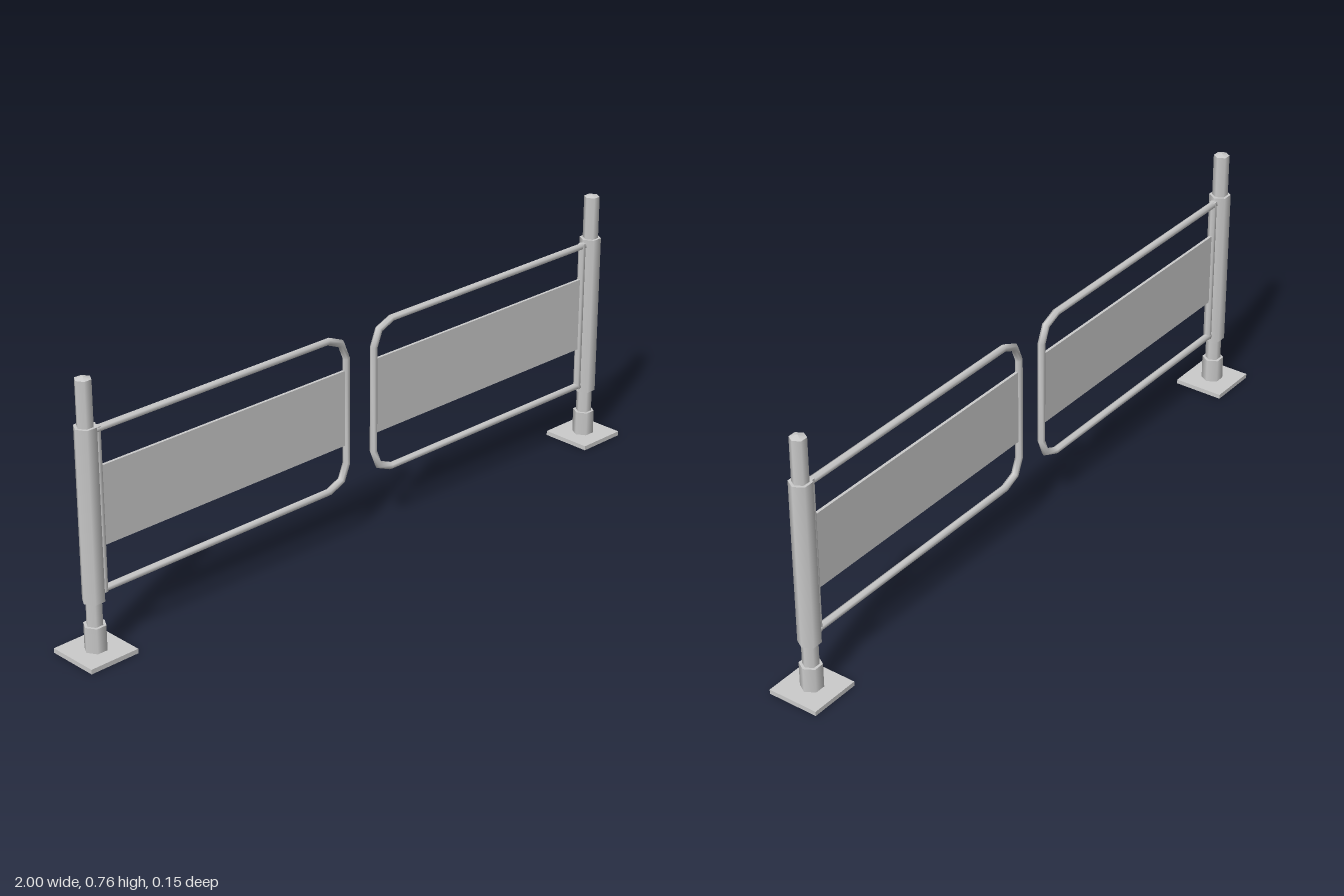
import * as THREE from 'three';

const material = new THREE.MeshStandardMaterial({ color: 0xcccccc });
const POST_X = 0.925;

function add(group, name, geometry, x = 0, y = 0, z = 0) {
  const mesh = new THREE.Mesh(geometry, material);
  mesh.name = name;
  mesh.position.set(x, y, z);
  group.add(mesh);
  return mesh;
}

// Upright hexagonal bar with corners on the x axis
function hexBar(group, name, radius, y0, y1, x = POST_X, topRadius = radius) {
  const geometry = new THREE.CylinderGeometry(topRadius, radius, y1 - y0, 6, 1, false, Math.PI / 6);
  return add(group, name, geometry, x, (y0 + y1) / 2);
}

// Tube with mitred bends along points [x, y] in the xy plane
function mitredTube(points, radius, sides = 6) {
  const pts = points.map(([x, y]) => new THREE.Vector2(x, y));
  const position = [], index = [];
  const last = pts.length - 1;
  pts.forEach((p, i) => {
    const before = p.clone().sub(pts[Math.max(i - 1, 0)]).normalize();
    const after = pts[Math.min(i + 1, last)].clone().sub(p).normalize();
    const along = before.clone().add(after).normalize();
    const miter = 1 / along.dot(i < last ? after : before);
    for (let s = 0; s < sides; s++) {
      const a = (s / sides) * Math.PI * 2;
      const r = Math.cos(a) * radius * miter;
      position.push(p.x - along.y * r, p.y + along.x * r, Math.sin(a) * radius);
      if (i < last) {
        const t = (s + 1) % sides, a0 = i * sides;
        index.push(a0 + s, a0 + t, a0 + sides + s, a0 + t, a0 + sides + t, a0 + sides + s);
      }
    }
  });
  // end caps
  for (let s = 1; s < sides - 1; s++) {
    const e = last * sides;
    index.push(0, s + 1, s, e, e + s, e + s + 1);
  }
  const geometry = new THREE.BufferGeometry();
  geometry.setAttribute('position', new THREE.Float32BufferAttribute(position, 3));
  geometry.setIndex(index);
  geometry.computeVertexNormals();
  return geometry;
}

function createHalf(name) {
  const half = new THREE.Group();
  half.name = name;

  // Post standing on its foot
  add(half, 'basePlate', new THREE.BoxGeometry(0.15, 0.013, 0.15), POST_X, 0.0065);
  hexBar(half, 'baseCollar', 0.031, 0.013, 0.084);
  hexBar(half, 'innerPost', 0.0225, 0.013, 0.752);
  hexBar(half, 'postCap', 0.0225, 0.752, 0.758, POST_X, 0);
  hexBar(half, 'hingeSleeve', 0.031, 0.151, 0.627);

  // Gate leaf: bent rail with two-step corners
  const gate = new THREE.Group();
  gate.name = 'gateLeaf';
  half.add(gate);
  const r = 0.0105, inner = 0.051, top = 0.609, bottom = 0.171, bend = 0.066;
  const cut = bend * (1 - Math.SQRT1_2);
  const rail = [
    [0.91, top], [inner + bend, top], [inner + cut, top - cut], [inner, top - bend],
    [inner, bottom + bend], [inner + cut, bottom + cut], [inner + bend, bottom], [0.91, bottom],
  ];
  add(gate, 'gateRail', mitredTube(rail, r));
  hexBar(gate, 'hingeBar', r, 0.163, 0.617, 0.89);
  add(gate, 'gatePanel', new THREE.BoxGeometry(0.835, 0.218, 0.008), 0.4705, 0.4);
  return half;
}

export function createModel() {
  const model = new THREE.Group();
  model.name = 'doubleGate';
  const left = createHalf('leftGate');
  const right = createHalf('rightGate');
  right.rotation.y = Math.PI;
  model.add(left, right);
  return model;
}
